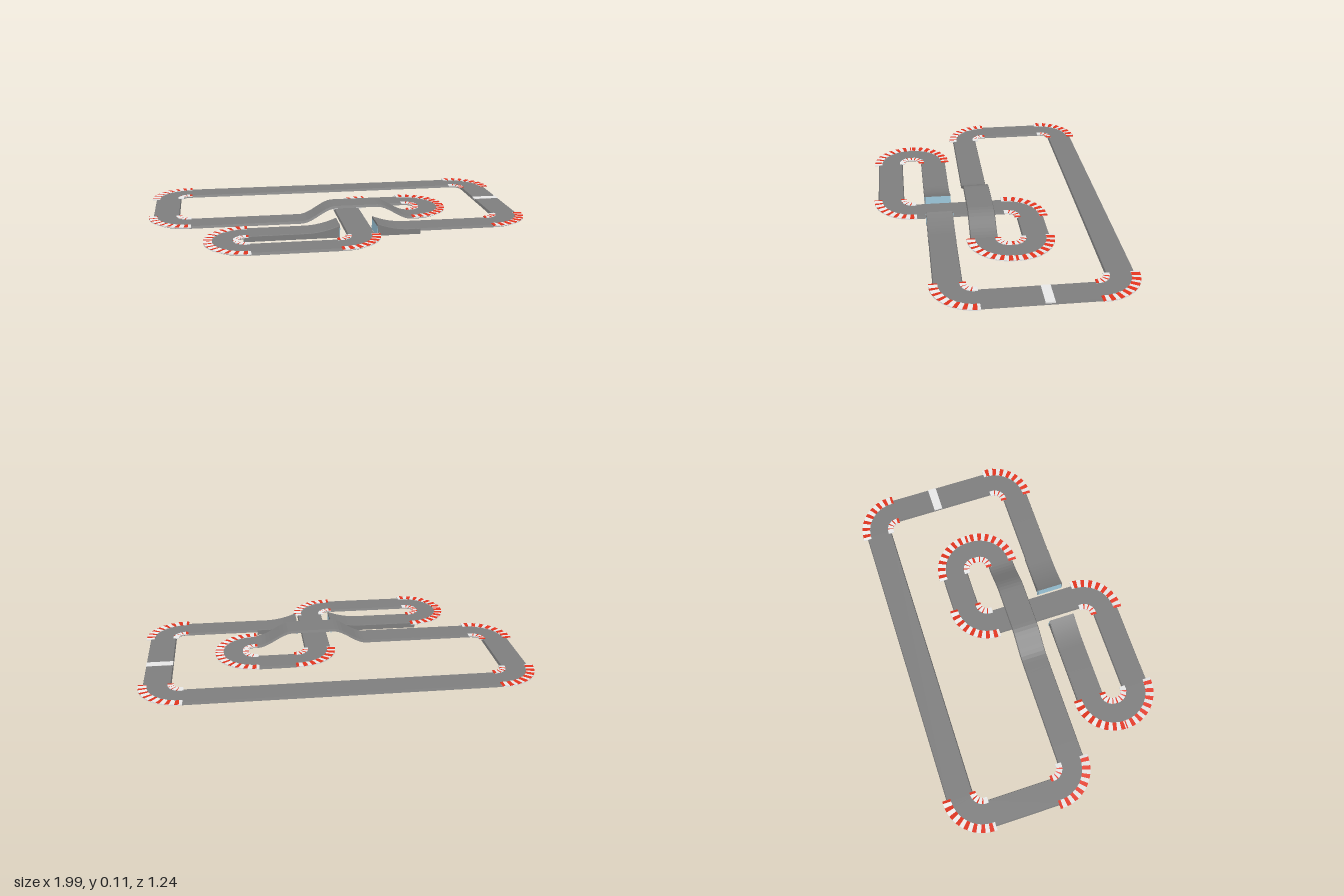
import * as THREE from 'three';

const mat = (name, color, side = THREE.FrontSide) => {
  const m = new THREE.MeshStandardMaterial({ color, side });
  m.name = name;
  return m;
};
const asphalt = mat('asphalt grey', 0x7e7e7e);
const white = mat('kerb white', 0xf0f0f0);
const red = mat('kerb red', 0xe2341e);
const blue = mat('ramp blue', 0x9cc8dc, THREE.DoubleSide);

const R = 0.12; // corner radius of the centre line
const RAMP_Z = 0.279;

// Centre line of the course as [x, z], from one jump ramp to the other
const route = [
  [0.16, RAMP_Z], [0.9, RAMP_Z], [0.9, -0.532], [-0.905, -0.532], [-0.905, 0.068], [0.525, 0.068],
  [0.525, -0.195], [0.072, -0.195], [0.072, 0.528], [-0.622, 0.528], [-0.622, RAMP_Z], [-0.03, RAMP_Z],
].map(([x, z]) => new THREE.Vector2(x, z));
const dirs = route.slice(1).map((p, i) => p.clone().sub(route[i]).normalize());

const smooth = THREE.MathUtils.smoothstep;
const rampRight = x => 0.035 * THREE.MathUtils.clamp((0.33 - x) / 0.17, 0, 1) ** 2;
const rampLeft = x => 0.035 * THREE.MathUtils.clamp((x + 0.2) / 0.17, 0, 1) ** 2;
const bridge = x => 0.075 * (smooth(x, -0.2, -0.02) - smooth(x, 0.2, 0.39));
const lifts = { 0: rampRight, 4: bridge, 10: rampLeft };

const sample = (p, d, y = 0) => ({ x: p.x, z: p.y, nx: d.y, nz: -d.x, y });

// Point on the rounded corner i at angle a; beyond the arc it runs on straight
function cornerSample(i, a, y = 0) {
  const d1 = dirs[i - 1], d2 = dirs[i];
  const b = THREE.MathUtils.clamp(a, 0, Math.PI / 2);
  const dir = d1.clone().multiplyScalar(Math.cos(b)).addScaledVector(d2, Math.sin(b));
  const p = route[i].clone().addScaledVector(d1, -R).addScaledVector(d2, R)
    .addScaledVector(d2, -R * Math.cos(b)).addScaledVector(d1, R * Math.sin(b))
    .addScaledVector(dir, (a - b) * R);
  return sample(p, dir, y);
}

// Sweep a counter-clockwise profile of [sideways, up] along the samples
function sweep(name, samples, profile, material) {
  const pos = [];
  const rings = samples.map(s => profile.map(([o, h]) => [s.x + s.nx * o, s.y + h, s.z + s.nz * o]));
  const n = profile.length;
  for (let k = 0; k < rings.length - 1; k++) {
    for (let i = 0; i < n; i++) {
      const j = (i + 1) % n;
      const a = rings[k][i], b = rings[k][j], c = rings[k + 1][j], e = rings[k + 1][i];
      pos.push(...a, ...b, ...c, ...a, ...c, ...e);
    }
  }
  const first = rings[0], last = rings[rings.length - 1];
  for (let i = 1; i < n - 1; i++) {
    pos.push(...first[0], ...first[i + 1], ...first[i]);
    pos.push(...last[0], ...last[i], ...last[i + 1]);
  }
  const g = new THREE.BufferGeometry();
  g.setAttribute('position', new THREE.Float32BufferAttribute(pos, 3));
  g.computeVertexNormals();
  const mesh = new THREE.Mesh(g, material);
  mesh.name = name;
  return mesh;
}

const rect = (o1, o2, y1, y2) => [[o1, y1], [o2, y1], [o2, y2], [o1, y2]];

function trackSamples() {
  const out = [];
  dirs.forEach((d, i) => {
    const a = route[i].clone(), b = route[i + 1].clone();
    if (i > 0) a.addScaledVector(d, R);
    if (i < dirs.length - 1) b.addScaledVector(d, -R);
    const steps = lifts[i] ? 60 : 1;
    for (let k = 0; k <= steps; k++) {
      const p = a.clone().lerp(b, k / steps);
      out.push(sample(p, d, lifts[i] ? lifts[i](p.x) : 0));
    }
    if (i < dirs.length - 1)
      for (let k = 1; k < 14; k++) out.push(cornerSample(i + 1, (k / 14) * Math.PI / 2));
  });
  return out;
}

// Rumble kerb on one side of a corner: a white plate with low ridges, whose
// red slopes face clockwise as seen from above
function kerb(name, i, turn, side, [inner, outer], ridges, redShare, height) {
  const group = new THREE.Group();
  group.name = name;
  const [o1, o2] = side > 0 ? [inner, outer] : [-outer, -inner];
  const from = -0.1, span = Math.PI / 2 + 0.2;
  const crest = turn > 0 ? redShare : 1 - redShare;
  const at = (t, y) => cornerSample(i, from + span * t / ridges, y);
  const line = Array.from({ length: 2 * ridges + 1 }, (_, k) => at(k / 2, 0));
  group.add(sweep('kerbPlate', line, rect(o1, o2, 0.032, 0.036), white));
  const stripe = rect(o1, o2, 0.0355, 0.0375);
  for (let c = 0; c < ridges; c++) {
    const rise = [at(c, 0), at(c + crest, height)];
    const fall = [at(c + crest, height), at(c + 1, 0)];
    group.add(sweep('kerbStripe', rise, stripe, turn > 0 ? red : white));
    group.add(sweep('kerbStripe', fall, stripe, turn > 0 ? white : red));
  }
  return group;
}

// Side skirts and end panel below a jump ramp
function rampBase(name, x0, x1, lift, endX) {
  const group = new THREE.Group();
  group.name = name;
  const shape = new THREE.Shape();
  shape.moveTo(x0, 0.006);
  shape.lineTo(x1, 0.006);
  for (let k = 0; k <= 16; k++) {
    const x = x1 + (x0 - x1) * k / 16;
    shape.lineTo(x, 0.033 + lift(x));
  }
  for (const z of [RAMP_Z - 0.07, RAMP_Z + 0.065]) {
    const g = new THREE.ExtrudeGeometry(shape, { depth: 0.005, bevelEnabled: false });
    const skirt = new THREE.Mesh(g, asphalt);
    skirt.name = 'rampSkirt';
    skirt.position.z = z;
    group.add(skirt);
  }
  const panel = new THREE.Mesh(new THREE.BoxGeometry(0.004, 0.058, 0.144), blue);
  panel.name = 'rampEndPanel';
  panel.position.set(endX, 0.029, RAMP_Z);
  group.add(panel);
  return group;
}

export function createModel() {
  const model = new THREE.Group();
  model.name = 'raceTrack';

  // Road with slightly sloping sides
  const roadProfile = [[-0.07, 0.022], [0.07, 0.022], [0.066, 0.035], [-0.066, 0.035]];
  model.add(sweep('road', trackSamples(), roadProfile, asphalt));

  // Kerbs outside and inside every corner
  for (let i = 1; i < route.length - 1; i++) {
    const d1 = dirs[i - 1], d2 = dirs[i];
    const turn = Math.sign(d2.x * d1.y - d2.y * d1.x);
    model.add(kerb('outerKerb', i, turn, -turn, [0.048, 0.091], 8, 0.48, 0.0025));
    model.add(kerb('innerKerb', i, turn, turn, [0.053, 0.084], 4, 0.25, 0.0015));
  }

  // Start line band across the road
  const band = new THREE.Mesh(new THREE.BoxGeometry(0.136, 0.0155, 0.046), white);
  band.name = 'startLine';
  band.position.set(0.9, 0.0285, -0.166);
  model.add(band);

  // Jump ramps on both sides of the gap
  model.add(rampBase('leftRampBase', 0.16, 0.385, rampRight, 0.162));
  model.add(rampBase('rightRampBase', -0.515, -0.03, rampLeft, -0.032));
  return model;
}
